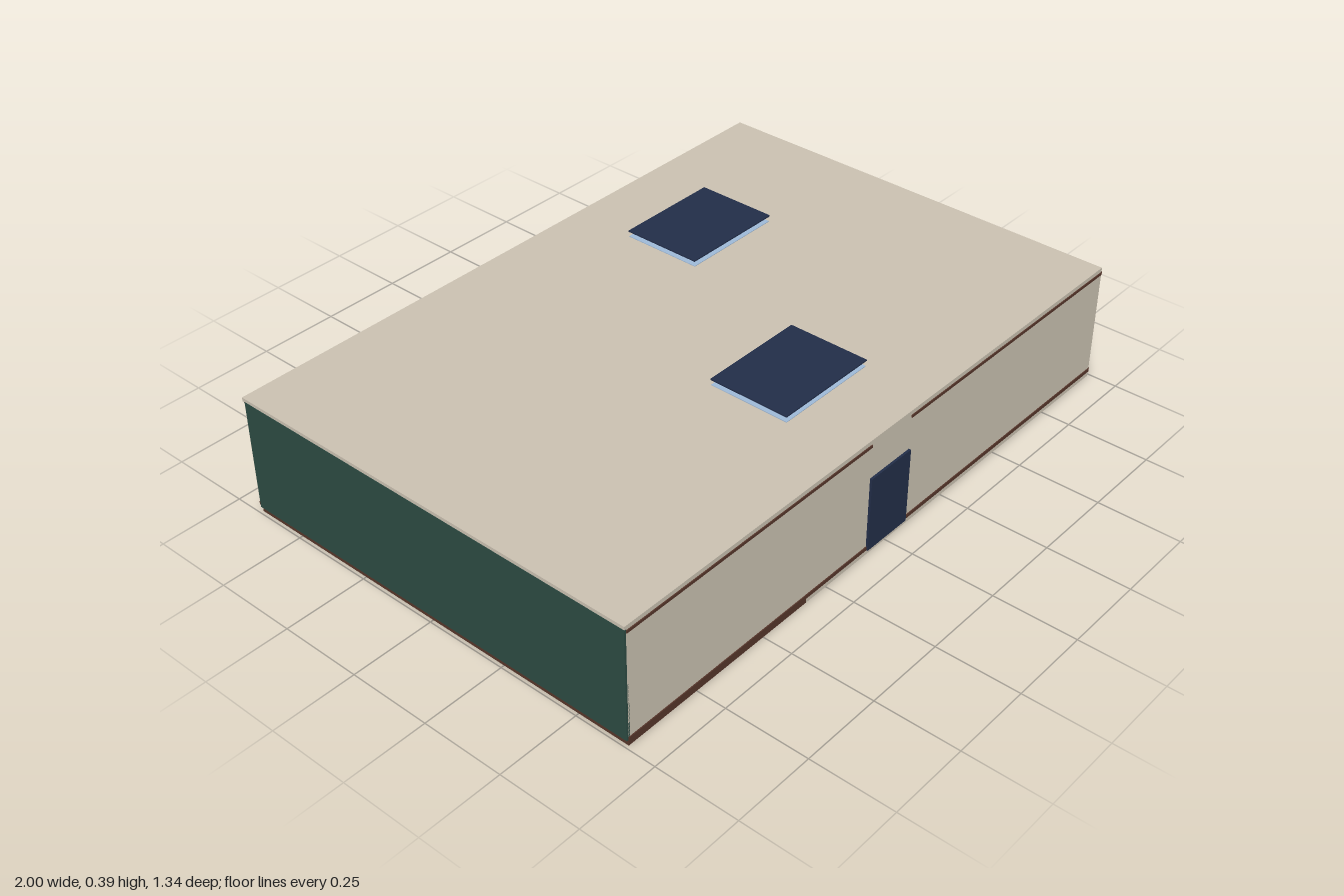
import * as THREE from 'three';

const BEIGE = 0xc9c0b0, GREY = 0xb0b0b0, GREEN = 0x2c4a42, BROWN = 0x55352a;
const NAVY = 0x222d48, CREAM = 0xdccba9, SKY = 0x9db8d6, OAK = 0xa87a45;

const materials = {};
function material(color) {
  return (materials[color] ??= new THREE.MeshStandardMaterial({ color }));
}

// Box given by its lower and upper limits on each axis
function slab(parent, name, color, [x0, x1], [y0, y1], [z0, z1]) {
  const mesh = new THREE.Mesh(new THREE.BoxGeometry(x1 - x0, y1 - y0, z1 - z0), material(color));
  mesh.position.set((x0 + x1) / 2, (y0 + y1) / 2, (z0 + z1) / 2);
  mesh.name = name;
  parent.add(mesh);
  return mesh;
}

function group(parent, name) {
  const g = new THREE.Group();
  g.name = name;
  parent.add(g);
  return g;
}

export function createModel() {
  const model = new THREE.Group();
  model.name = 'building';

  // Floor: pale corner room inside an L of dark brown
  const floor = group(model, 'floor');
  slab(floor, 'paleFloor', BEIGE, [-0.33, 0.99], [0, 0.018], [0, 0.66]);
  slab(floor, 'backFloor', BROWN, [-0.99, 0.99], [0, 0.018], [-0.66, 0]);
  slab(floor, 'sideFloor', BROWN, [-0.99, -0.33], [0, 0.018], [0, 0.66]);

  // Outer walls
  const wallY = [0.018, 0.36];
  const walls = group(model, 'walls');
  slab(walls, 'frontWall', BEIGE, [-0.99, 0.99], wallY, [0.65, 0.66]);
  slab(walls, 'backWall', BEIGE, [-0.99, 0.99], wallY, [-0.67, -0.66]);
  slab(walls, 'leftWallFront', BEIGE, [0.985, 0.993], wallY, [0.25, 0.66]);
  slab(walls, 'leftWallBack', GREY, [0.985, 0.993], wallY, [-0.66, 0.25]);
  slab(walls, 'rightWall', GREEN, [-0.996, -0.985], wallY, [-0.66, 0.66]);

  // Roof
  slab(model, 'roof', BEIGE, [-0.995, 0.993], [0.358, 0.37], [-0.67, 0.66]);

  // Skirting and cornice strips, broken at the doors
  const trim = group(model, 'trim');
  for (const [name, y] of [['skirting', [0.017, 0.028]], ['cornice', [0.349, 0.357]]]) {
    for (const x of [[-0.99, -0.083], [0.083, 0.99]]) slab(trim, name, BROWN, x, y, [0.65, 0.663]);
    for (const z of [[-0.66, 0.25], [0.41, 0.66]]) slab(trim, name, BROWN, [0.985, 0.996], y, z);
    slab(trim, name, BROWN, [-0.99, 0.99], y, [-0.672, -0.66]);
  }

  // Front door
  slab(model, 'frontDoor', NAVY, [-0.083, 0.083], [0.017, 0.25], [0.65, 0.667]);

  // Side door with its frame
  const door = group(model, 'sideDoor');
  slab(door, 'doorPanel', CREAM, [0.985, 0.996], [0.02, 0.243], [0.255, 0.405]);
  slab(door, 'doorHead', BROWN, [0.985, 1], [0.243, 0.254], [0.24, 0.42]);
  slab(door, 'doorSill', BROWN, [0.985, 0.997], [0.015, 0.021], [0.24, 0.42]);
  for (const s of [-1, 1]) {
    const z = (a, b) => [0.33 + s * a, 0.33 + s * b].sort((p, q) => p - q);
    slab(door, 'doorPost', OAK, [0.985, 0.999], [0.018, 0.243], z(0.082, 0.088));
    slab(door, 'doorJamb', GREEN, [0.985, 0.998], [0.018, 0.243], z(0.075, 0.082));
  }

  // Skylights: pale pane set on the roof, dark panel floating above it
  for (const [x, z] of [[0, 0.327], [0.41, -0.335]]) {
    const light = group(model, 'skylight');
    slab(light, 'skylightPane', SKY, [x - 0.165, x + 0.165], [0.366, 0.372], [z - 0.125, z + 0.125]);
    slab(light, 'skylightPanel', NAVY, [x - 0.167, x + 0.167], [0.387, 0.391], [z - 0.126, z + 0.126]);
  }

  return model;
}
